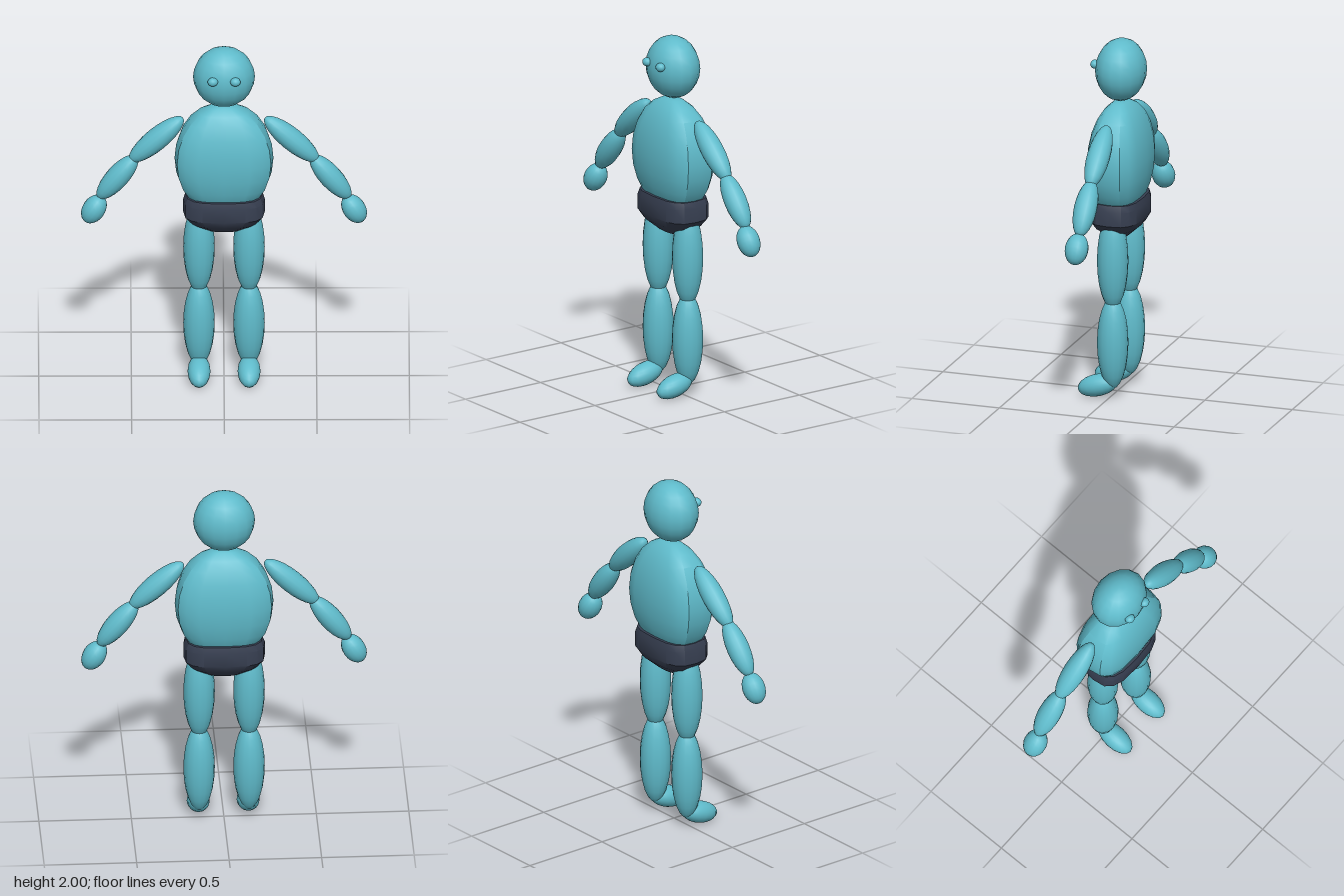
import * as THREE from 'three';
import { toCreasedNormals } from 'three/addons/utils/BufferGeometryUtils.js';

const skin = new THREE.MeshStandardMaterial({ color: 0x5fbbcb });
skin.name = 'teal skin';
const cloth = new THREE.MeshStandardMaterial({ color: 0x363e50 });
cloth.name = 'dark cloth';

const DEPTH = -0.02; // the body's centre line in z

// Ellipsoid with the given radii, centre and rotation
function ellipsoid(name, radii, centre, rotation = [0, 0, 0], segments = 16) {
  const geometry = new THREE.SphereGeometry(1, segments, 12);
  geometry.scale(...radii);
  const mesh = new THREE.Mesh(geometry, skin);
  mesh.name = name;
  mesh.position.set(...centre);
  mesh.rotation.set(...rotation);
  return mesh;
}

// Turned profile of [scale, y] pairs, squared off into a rounded-box section
function squaredBody(name, profile, rx, rz, material) {
  const points = profile.map(([t, y]) => new THREE.Vector2(t, y));
  const geometry = new THREE.LatheGeometry(points, 16);
  const p = geometry.attributes.position;
  const square = (v) => Math.sign(v) * Math.pow(Math.abs(v), 2 / 3);
  for (let i = 0; i < p.count; i++) {
    const x = p.getX(i), z = p.getZ(i), r = Math.hypot(x, z);
    if (r < 1e-5) { p.setXYZ(i, 0, p.getY(i), 0); continue; }
    p.setXYZ(i, rx * r * square(x / r), p.getY(i), rz * r * square(z / r));
  }
  const mesh = new THREE.Mesh(toCreasedNormals(geometry, 0.52), material);
  mesh.name = name;
  mesh.position.z = DEPTH;
  return mesh;
}

export function createModel() {
  const model = new THREE.Group();
  model.name = 'figure';

  // Head
  model.add(ellipsoid('head', [0.167, 0.172, 0.137], [0, 1.828, DEPTH]));

  // Torso: elliptical from the front, squared from above
  const torso = [];
  for (let i = 0; i <= 12; i++) {
    const a = (i / 12) * Math.PI;
    torso.push([Math.sin(a), 1.33 - 0.328 * Math.cos(a)]);
  }
  model.add(squaredBody('torso', torso, 0.267, 0.152, skin));

  // Trunks around the hips
  const trunks = [[0, 0.89], [0.39, 0.902], [0.82, 0.955], [1, 1.0],
    [1, 1.08], [0.94, 1.115], [0, 1.115]];
  model.add(squaredBody('trunks', trunks, 0.22, 0.138, cloth));

  // Mirrored eyes, arms and legs
  for (const [label, s] of [['left', 1], ['right', -1]]) {
    const add = (part, radii, [x, y, z], rx = 0, rz = 0) =>
      model.add(ellipsoid(`${label} ${part}`, radii, [s * x, y, z], [rx, 0, s * rz]));

    add('eye', [0.028, 0.024, 0.025], [0.061, 1.862, 0.108]);

    add('upper arm', [0.061, 0.195, 0.063], [0.365, 1.443, DEPTH], 0, 0.83);
    add('forearm', [0.061, 0.165, 0.063], [0.575, 1.213, DEPTH], 0, 0.68);
    add('hand', [0.062, 0.088, 0.064], [0.702, 1.02, -0.014], 0, 0.55);

    add('thigh', [0.085, 0.275, 0.085], [0.135, 0.785, DEPTH]);
    add('shin', [0.085, 0.26, 0.085], [0.135, 0.32, DEPTH]);
    add('foot', [0.062, 0.06, 0.115], [0.135, 0.069, 0.067], 0.28);
  }
  return model;
}
